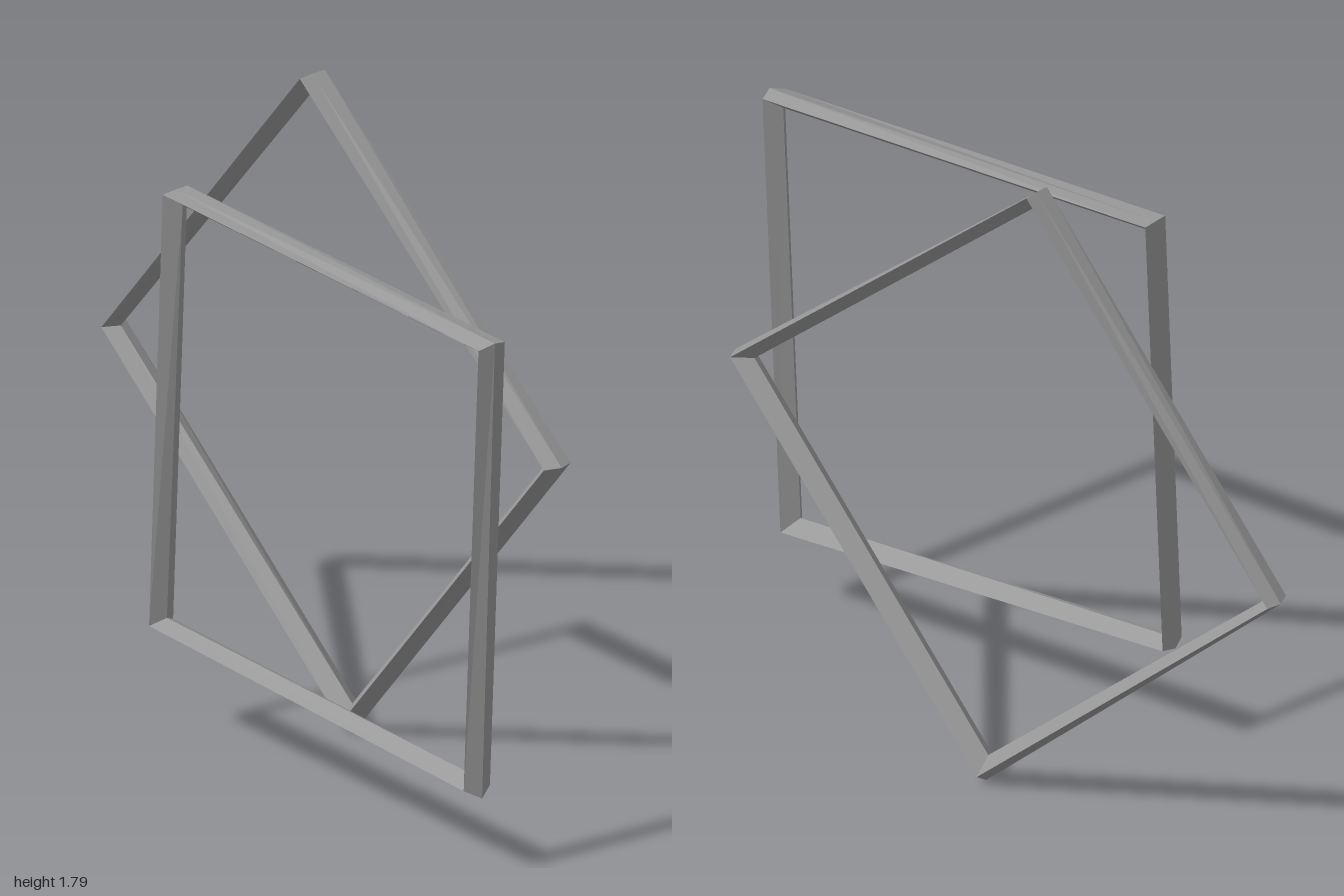
import * as THREE from 'three';

// Frame corners, clockwise from the top: outer tip x, y, depth of the outer ridge, full radial thickness
const CORNERS = [
  [-0.0825, 0.893, 0.0, 0.046],
  [0.9025, 0.1, 0.018, 0.062],
  [0.0825, -0.893, 0.031, 0.076],
  [-0.8825, -0.05, 0.014, 0.044],
];
const HALF_DEPTH = 0.043;

// Kite-shaped section at a corner: outer tip, front, inner tip, back
function section([x, y, ridge, thickness]) {
  const outer = new THREE.Vector3(x, y, 0);
  const inward = outer.clone().normalize().negate();
  const at = (d, z) => outer.clone().addScaledVector(inward, d).setZ(z);
  return [at(0, 0), at(ridge + 0.003, HALF_DEPTH), at(thickness, 0), at(Math.max(ridge - 0.003, 0), -HALF_DEPTH)];
}

// One bar joining two corner sections, with crisp faces
function barGeometry(start, end) {
  const points = [];
  for (let s = 0; s < 4; s++) {
    const n = (s + 1) % 4;
    points.push(start[s], start[n], end[n], start[s], end[n], end[s]);
  }
  const geometry = new THREE.BufferGeometry().setFromPoints(points);
  geometry.computeVertexNormals();
  return geometry;
}

export function createModel() {
  const model = new THREE.Group();
  const grey = new THREE.MeshStandardMaterial({ color: 0x999999 });
  grey.name = 'grey';

  const sections = CORNERS.map(section);
  const barNames = ['upperBar', 'leftBar', 'lowerBar', 'rightBar'];
  const bars = sections.map((s, i) => barGeometry(s, sections[(i + 1) % 4]));

  // A square frame, turned in its own plane
  function addFrame(name, x, y, z, turn) {
    const frame = new THREE.Group();
    frame.name = name;
    bars.forEach((geometry, i) => {
      const bar = new THREE.Mesh(geometry, grey);
      bar.name = barNames[i];
      frame.add(bar);
    });
    frame.position.set(x, y, z);
    frame.rotation.z = turn;
    model.add(frame);
  }

  addFrame('backFrame', -0.1175, 0.897, -0.203, 0);
  addFrame('frontFrame', 0.334, 0.8925, 0.203, THREE.MathUtils.degToRad(37.3));
  return model;
}
